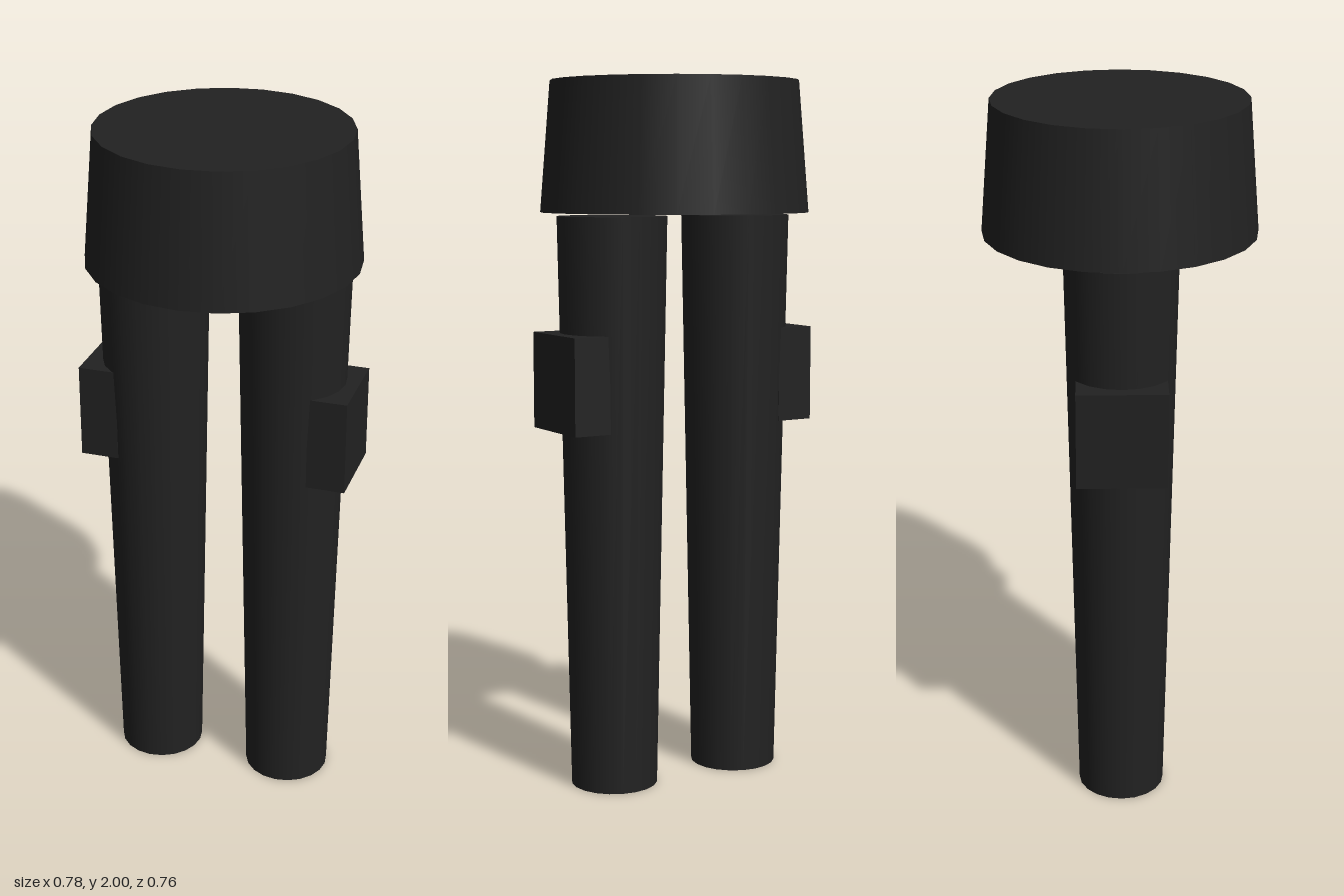
import * as THREE from 'three';

export function createModel() {
  const model = new THREE.Group();
  model.name = 'trousers';

  const cloth = new THREE.MeshStandardMaterial({ color: 0x222222 });
  cloth.name = 'black cloth';

  const add = (name, geometry, x, y) => {
    const mesh = new THREE.Mesh(geometry, cloth);
    mesh.name = name;
    mesh.position.set(x, y, 0);
    model.add(mesh);
  };

  // Hips: a wide tapered drum, floating a hair above the legs
  add('hips', new THREE.CylinderGeometry(0.35, 0.38, 0.366, 24), 0, 1.817);

  // Tapered legs, each with a boxy pocket on its outer side
  const leg = new THREE.CylinderGeometry(0.155, 0.124, 1.625, 20);
  const pocket = new THREE.BoxGeometry(0.11, 0.27, 0.247);
  for (const [side, s] of [['left', 1], ['right', -1]]) {
    add(side + 'Leg', leg, s * 0.203, 0.8125);
    add(side + 'Pocket', pocket, s * 0.333, 1.167);
  }

  return model;
}
